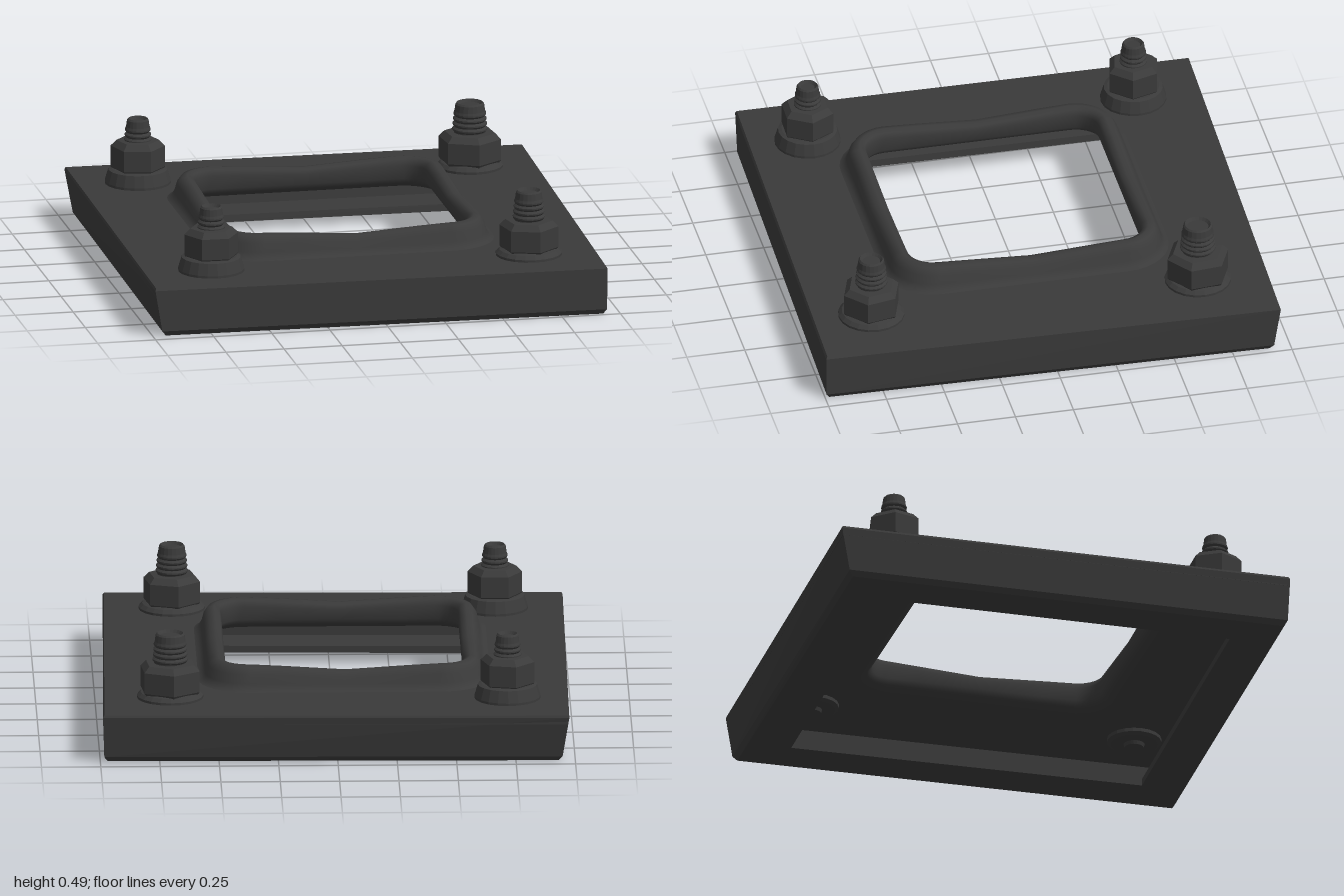
import * as THREE from 'three';

const dark = (flatShading, side = THREE.FrontSide) => {
  const m = new THREE.MeshStandardMaterial({ color: 0x3a3a3a, side });
  m.flatShading = flatShading;
  return m;
};

function part(name, geometry, material) {
  const mesh = new THREE.Mesh(geometry, material);
  mesh.name = name;
  return mesh;
}

// Skin over closed rings of [x, y, z] points, all with the same count
function loft(rings) {
  const n = rings[0].length, index = [];
  for (let i = 0; i < rings.length - 1; i++) {
    for (let j = 0; j < n; j++) {
      const a = i * n + j, b = i * n + (j + 1) % n, c = a + n, d = b + n;
      index.push(a, c, b, b, c, d);
    }
  }
  const g = new THREE.BufferGeometry();
  g.setAttribute('position', new THREE.Float32BufferAttribute(rings.flat(2), 3));
  g.setIndex(index);
  g.computeVertexNormals();
  return g;
}

// Slightly skewed outline of the plate, at the top and at the foot of the skirt
const TOP = [[0.99, -0.955], [0.945, 0.998], [-0.993, 0.957], [-0.975, -1]];
const FOOT = [[0.985, -0.925], [0.945, 0.998], [-0.96, 0.957], [-0.945, -0.955]];

function outline(y, inset) {
  const t = Math.min(y / 0.21, 1);
  return TOP.map(([x, z], i) => {
    const px = FOOT[i][0] + (x - FOOT[i][0]) * t;
    const pz = FOOT[i][1] + (z - FOOT[i][1]) * t;
    return [px - Math.sign(px) * inset, y, pz - Math.sign(pz) * inset];
  });
}

// Rounded square around the opening, grown by an offset
function opening(offset, y, lift = 0) {
  const ring = [], r = 0.1 + offset, c = 0.4, steps = 8, side = 6;
  for (let k = 0; k < 4; k++) {
    const corner = q => [c * (q % 4 === 0 || q % 4 === 3 ? 1 : -1), c * (q % 4 < 2 ? 1 : -1)];
    const [cx, cz] = corner(k), [nx, nz] = corner(k + 1);
    const add = (x, z) => {
      const bump = lift * Math.min(1, Math.abs(x * z) / 0.2);
      ring.push([x - 0.04, y + bump, z + 0.01]);
    };
    for (let s = 0; s <= steps; s++) {
      const a = (k + s / steps) * Math.PI / 2;
      add(cx + r * Math.cos(a), cz + r * Math.sin(a));
    }
    const e = (k + 1) * Math.PI / 2;
    for (let s = 1; s < side; s++) {
      const t = s / side;
      add(cx + (nx - cx) * t + r * Math.cos(e), cz + (nz - cz) * t + r * Math.sin(e));
    }
  }
  return ring;
}

function createBolt(nutRadius, studRadius, rise, turn) {
  const bolt = new THREE.Group();
  const lathe = pts => new THREE.LatheGeometry(pts.map(p => new THREE.Vector2(...p)), 20);

  bolt.add(part('washer', lathe([[0, 0.2], [0.14, 0.2], [0.14, 0.22], [0.125, 0.235 + rise],
    [0.11, 0.24 + rise], [0, 0.24 + rise]]), dark(true)));

  // Hex nut with chamfered top and bottom corners
  const nutPoints = [[0, 0.225], [nutRadius - 0.015, 0.225], [nutRadius, 0.245], [nutRadius, 0.335],
    [nutRadius - 0.025, 0.36], [0, 0.365]].map(([x, y]) => new THREE.Vector2(x, y + rise));
  const nut = part('nut', new THREE.LatheGeometry(nutPoints, 6), dark(true));
  nut.rotation.y = turn;
  bolt.add(nut);

  // Threaded stud, tapering to a slightly hollow tip
  const stud = [[0, 0.3], [studRadius, 0.3]];
  for (let i = 0; i < 4; i++) {
    const y = 0.365 + i * 0.022, r = studRadius - i * 0.002;
    stud.push([r - 0.007, y], [r, y + 0.008], [r, y + 0.014]);
  }
  stud.push([studRadius - 0.01, 0.455], [studRadius - 0.014, 0.483], [studRadius - 0.02, 0.49],
    [studRadius - 0.03, 0.478], [0, 0.478]);
  bolt.add(part('threadedStud', lathe(stud), dark(true)));

  // Round head against the underside of the sheet
  bolt.add(part('boltHead', lathe([[0, 0.13], [0.04, 0.13], [0.045, 0.145], [0.1, 0.145],
    [0.115, 0.155], [0.115, 0.175], [0, 0.175]]), dark(true)));
  return bolt;
}

export function createModel() {
  const model = new THREE.Group();
  model.name = 'boltedFrame';

  // Flat top sheet with the square opening
  const toShape = ring => ring.map(([x, , z]) => new THREE.Vector2(x, -z));
  const shape = new THREE.Shape(toShape(outline(0.21, 0.006)));
  shape.holes.push(new THREE.Path(toShape(opening(0.06, 0))));
  const sheet = new THREE.ExtrudeGeometry(shape, { depth: 0.04, bevelEnabled: false });
  sheet.rotateX(-Math.PI / 2).translate(0, 0.17, 0);
  model.add(part('topSheet', sheet, dark(true)));

  // Thin downturned skirt whose foot folds inward as a wide flange
  const skirt = loft([[0.175, 0.03], [0.03, 0.03], [0.03, 0.2], [0, 0.2], [0, 0.016], [0.022, 0.002],
    [0.2, 0], [0.21, 0.006]].map(([y, inset]) => outline(y, inset)));
  model.add(part('skirtWithFlange', skirt, dark(true, THREE.DoubleSide)));

  // Raised rounded lip around the opening, a little higher at the corners
  const lip = loft([[0.12, 0.208, 0], [0.1, 0.216, 0], [0.085, 0.235, 0.005], [0.075, 0.262, 0.015],
    [0.055, 0.283, 0.022], [0.03, 0.287, 0.024], [0.008, 0.28, 0.022], [0, 0.262, 0.015],
    [0, 0.22, 0], [0.018, 0.197, 0], [0.05, 0.176, 0], [0.1, 0.168, 0]]
    .map(p => opening(...p)));
  model.add(part('openingLip', lip, dark(false, THREE.DoubleSide)));

  // Corner bolts: x, z, nut radius, stud radius, rise, nut turn
  [['backRightBolt', -0.72, -0.7, 0.115, 0.06, 0.035, 0.3],
    ['backLeftBolt', 0.7, -0.66, 0.135, 0.075, 0, 0.1],
    ['frontRightBolt', -0.7, 0.71, 0.115, 0.06, 0.035, 0.5],
    ['frontLeftBolt', 0.66, 0.74, 0.125, 0.068, 0, 0.2]].forEach(([name, x, z, ...rest]) => {
    const bolt = createBolt(...rest);
    bolt.name = name;
    bolt.position.set(x, 0, z);
    model.add(bolt);
  });
  return model;
}
